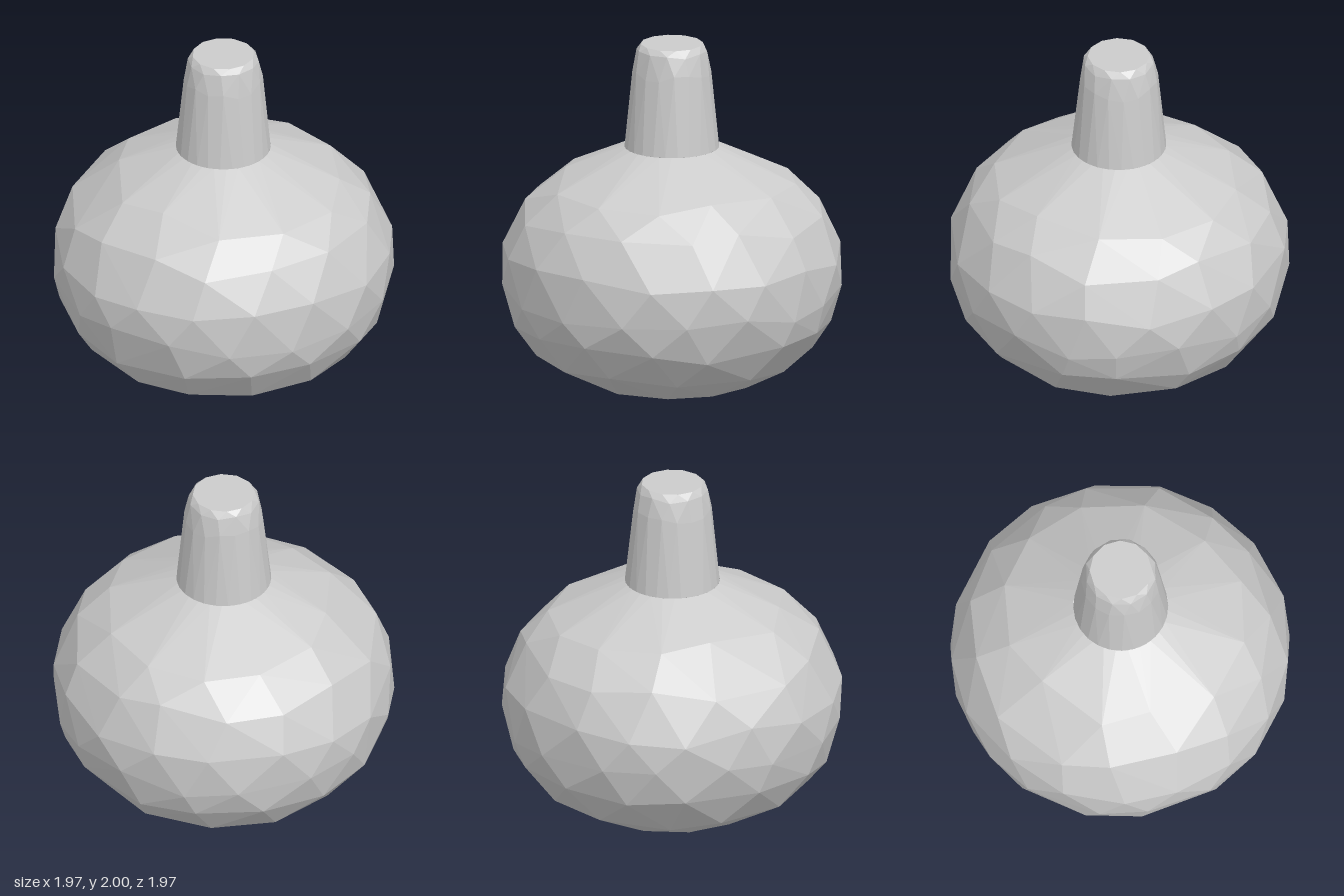
import * as THREE from 'three';
import { ConvexGeometry } from 'three/addons/geometries/ConvexGeometry.js';

const SHOULDER = 1.385; // height where the neck meets the body

// Small seeded generator, returns values from -1 to 1
function seeded(seed) {
  return () => {
    seed = (seed * 16807) % 2147483647;
    return (seed / 2147483647) * 2 - 1;
  };
}

function ringPoint(radius, y, angle) {
  return new THREE.Vector3(Math.cos(angle) * radius, y, Math.sin(angle) * radius);
}

// Faceted hull, left open where neck and body join
function openHull(points) {
  const hull = new ConvexGeometry(points);
  const p = hull.attributes.position;
  const kept = [];
  for (let i = 0; i < p.count; i += 3) {
    const atJoint = [0, 1, 2].every((k) => Math.abs(p.getY(i + k) - SHOULDER) < 1e-4);
    if (atJoint) continue;
    for (let k = 0; k < 3; k++) kept.push(p.getX(i + k), p.getY(i + k), p.getZ(i + k));
  }
  const geometry = new THREE.BufferGeometry();
  geometry.setAttribute('position', new THREE.Float32BufferAttribute(kept, 3));
  geometry.computeVertexNormals();
  return geometry;
}

// Squat round belly with irregular facets
function bodyGeometry() {
  const random = seeded(71);
  const profile = new THREE.SplineCurve([
    [0.5, 0], [0.79, 0.16], [0.93, 0.35], [0.985, 0.55],
    [0.98, 0.79], [0.87, 1.03], [0.68, 1.2], [0.275, SHOULDER],
  ].map(([r, y]) => new THREE.Vector2(r, y)));
  const counts = [11, 13, 15, 17, 17, 15, 12, 24];
  const last = counts.length - 1;
  const points = [];
  counts.forEach((count, row) => {
    const edge = row === 0 || row === last;
    for (let i = 0; i < count; i++) {
      // Inner rows slide along the profile and around the axis
      const t = (row + (edge ? 0 : random() * 0.22)) / last;
      const slip = row === last ? 0 : random() * 0.16;
      const angle = ((i + (row % 2) * 0.5 + slip) / count) * Math.PI * 2;
      const q = profile.getPoint(t);
      points.push(ringPoint(q.x, edge ? (row ? SHOULDER : 0) : q.y, angle));
    }
  });
  return openHull(points);
}

// Tapered neck with a bevelled, closed top
function neckGeometry() {
  const random = seeded(19);
  const rows = [
    // radius, height, sides, height variation
    [0.275, SHOULDER, 24, 0],
    [0.229, 1.84, 16, 0.02],
    [0.206, 1.965, 12, 0.012],
    [0.18, 2, 12, 0],
  ];
  const points = [];
  rows.forEach(([radius, y, sides, vary], row) => {
    for (let i = 0; i < sides; i++) {
      const angle = ((i + (row % 2) * 0.5) / sides) * Math.PI * 2;
      points.push(ringPoint(radius, y + random() * vary, angle));
    }
  });
  return openHull(points);
}

export function createModel() {
  const group = new THREE.Group();
  group.name = 'bottle';
  const material = new THREE.MeshStandardMaterial({
    color: 0xcccccc, flatShading: true, side: THREE.DoubleSide,
  });
  const parts = { body: bodyGeometry(), neck: neckGeometry() };
  for (const [name, geometry] of Object.entries(parts)) {
    const mesh = new THREE.Mesh(geometry, material);
    mesh.name = name;
    group.add(mesh);
  }
  return group;
}
